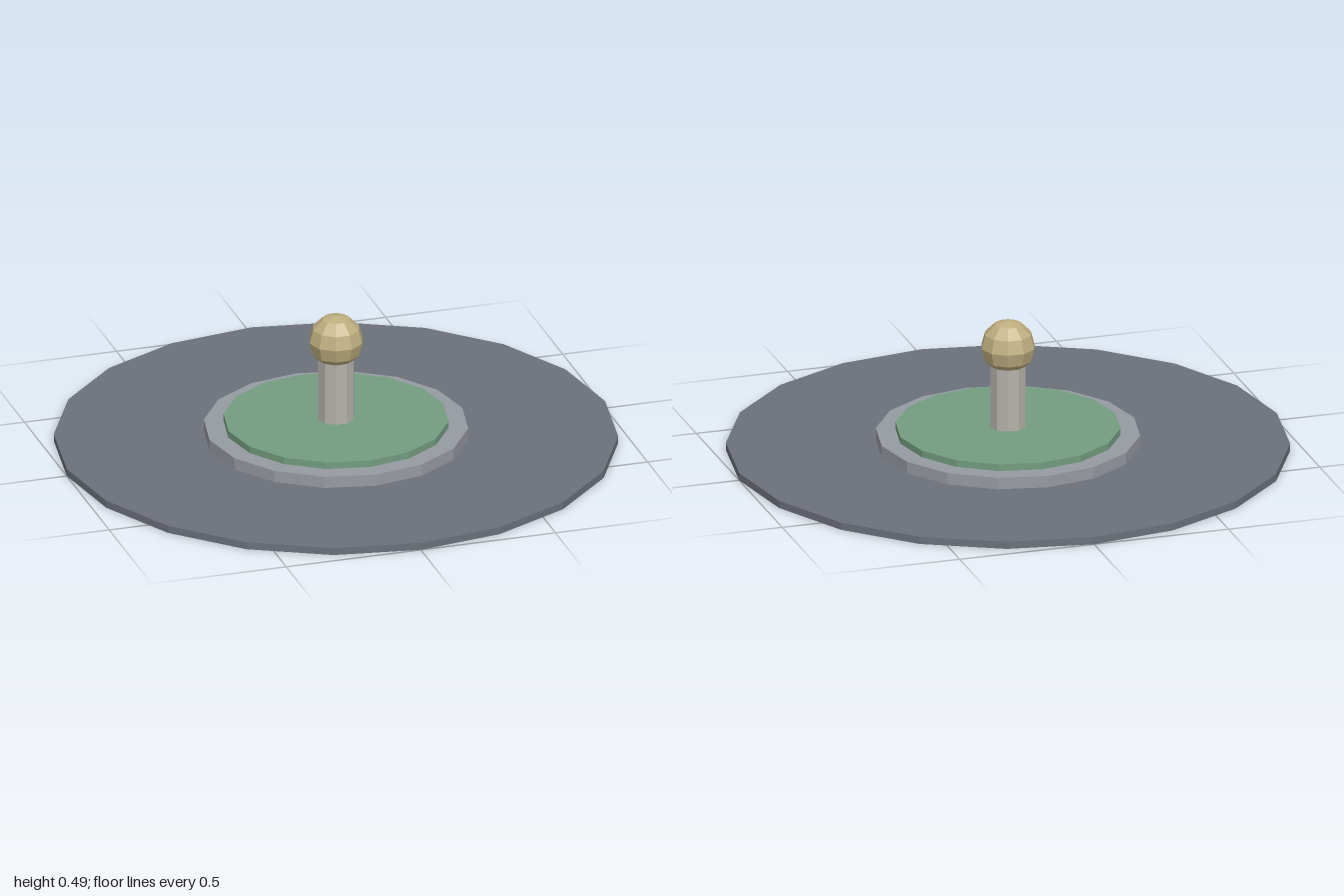
import * as THREE from 'three';

const paint = (name, color) => {
  const m = new THREE.MeshStandardMaterial({ color, flatShading: true });
  m.name = name;
  return m;
};

export function createModel() {
  const group = new THREE.Group();
  const add = (name, geometry, material, y) => {
    const mesh = new THREE.Mesh(geometry, material);
    mesh.name = name;
    mesh.position.y = y;
    group.add(mesh);
    return mesh;
  };
  // Faceted disc or post spanning two heights
  const drum = (name, radius, bottom, top, sides, material) =>
    add(name, new THREE.CylinderGeometry(radius, radius, top - bottom, sides), material, (bottom + top) / 2);

  // Stacked round base
  drum('basePlate', 1, 0, 0.027, 20, paint('slate grey', 0x6b707a));
  drum('middleStep', 0.47, 0.027, 0.07, 16, paint('light grey', 0x969ba1));
  drum('greenPad', 0.4, 0.07, 0.095, 16, paint('soft green', 0x739c7f));

  // Post and ball knob, corners towards the sides
  const post = drum('post', 0.066, 0.095, 0.36, 10, paint('warm grey', 0xb5b1aa));
  post.rotation.y = Math.PI / 2;
  add('ballKnob', new THREE.SphereGeometry(0.098, 10, 6), paint('tan', 0xbfae7f), 0.393);

  return group;
}
